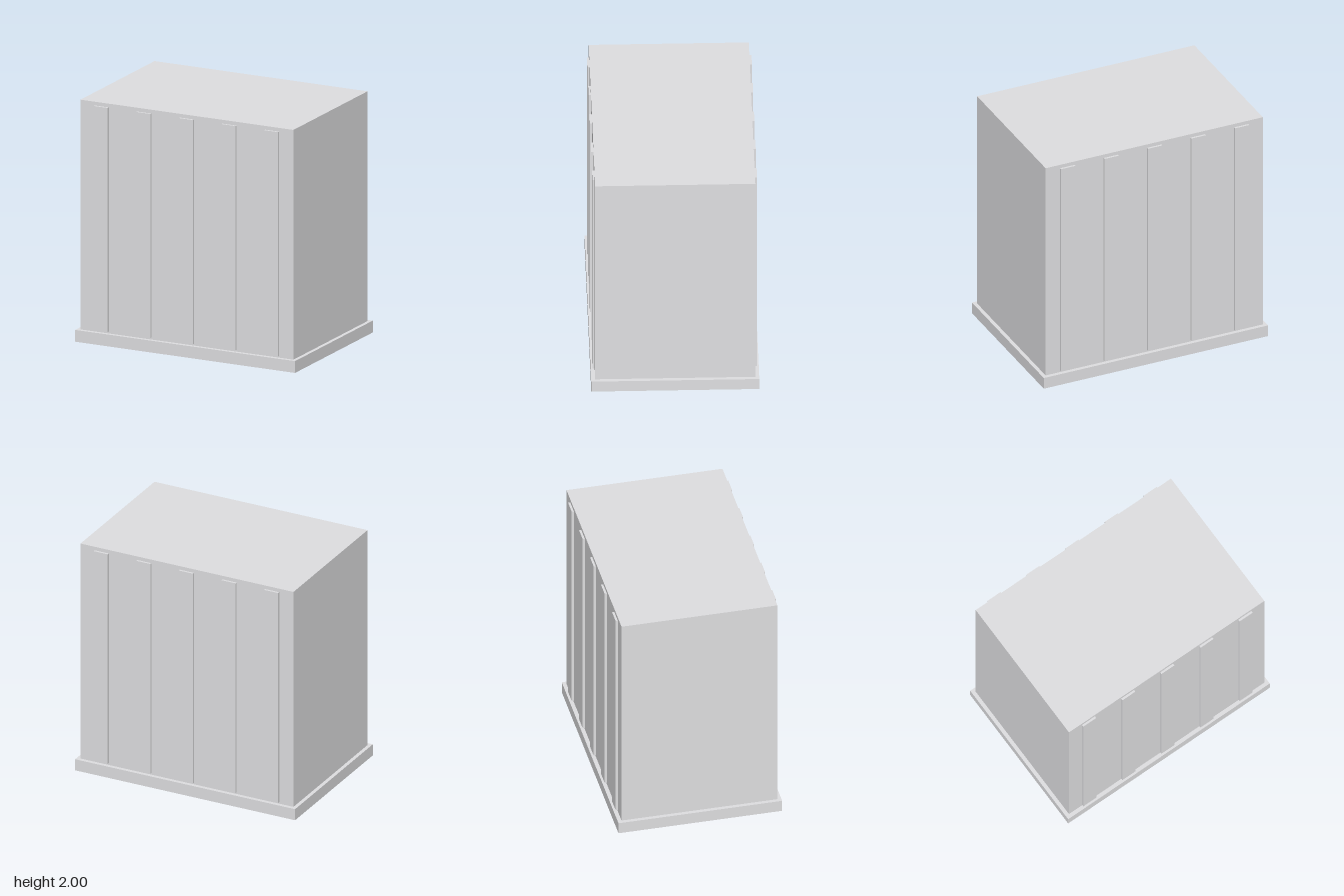
import * as THREE from 'three';

export function createModel() {
  const group = new THREE.Group();
  const lightGrey = new THREE.MeshStandardMaterial({ color: 0xe0e0e2 });
  lightGrey.name = 'lightGrey';

  // Box placed by its size, bottom height and centre in x and z
  const addBox = (name, w, h, d, x, bottom, z) => {
    const mesh = new THREE.Mesh(new THREE.BoxGeometry(w, h, d), lightGrey);
    mesh.name = name;
    mesh.position.set(x, bottom + h / 2, z);
    group.add(mesh);
  };

  // Plinth and main block
  addBox('base', 1.976, 0.098, 1.34, 0, 0, 0);
  addBox('body', 1.914, 1.902, 1.276, 0, 0.098, 0);

  // Five vertical ribs on the front and on the back
  const ribDepth = 0.018;
  for (const side of [1, -1]) {
    for (let i = -2; i <= 2; i++) {
      addBox(side > 0 ? 'frontRib' : 'backRib', 0.127, 1.856, ribDepth,
        i * 0.383, 0.113, side * (0.638 + ribDepth / 2));
    }
  }
  return group;
}
